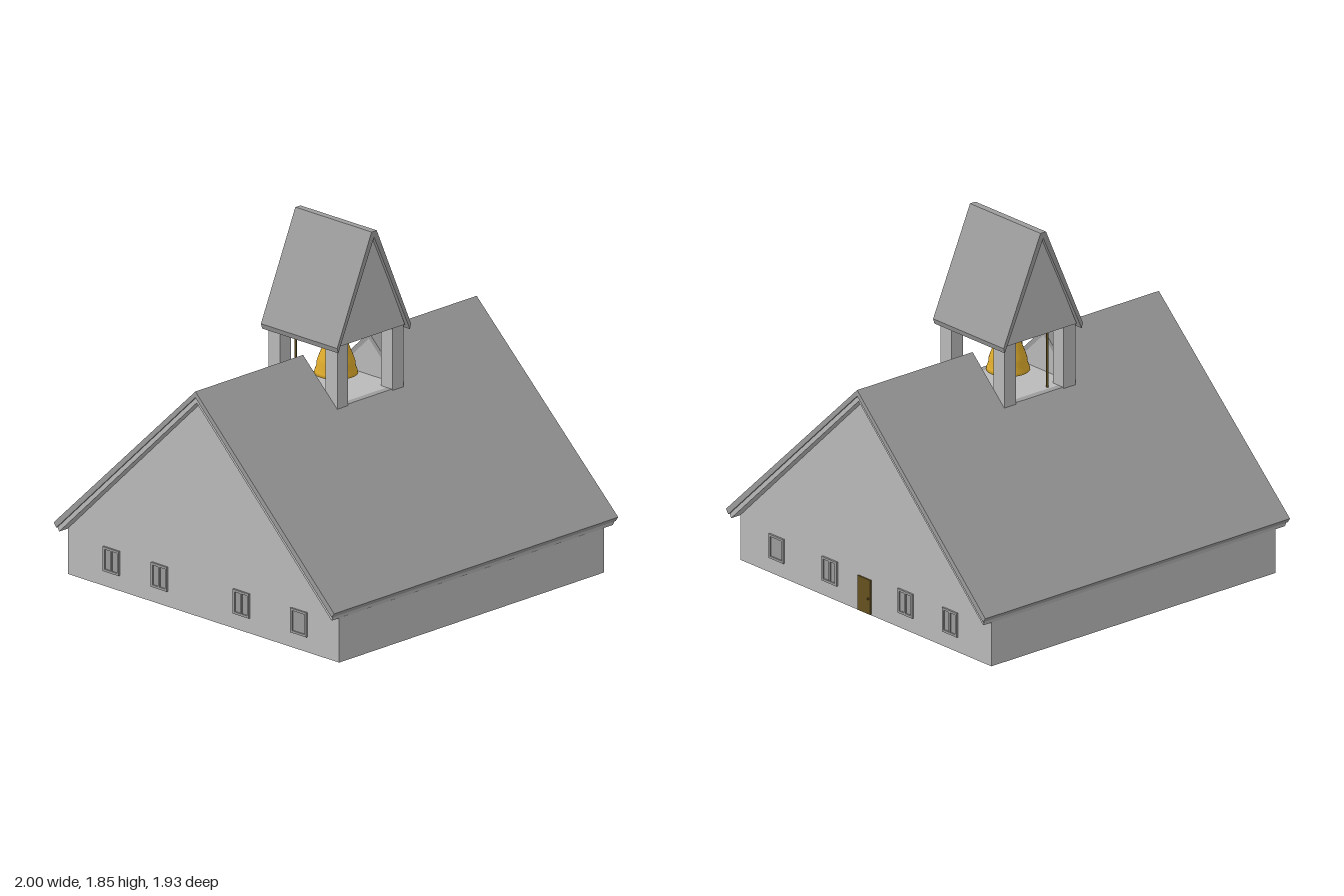
import * as THREE from 'three';

const material = (name, color) => {
  const m = new THREE.MeshStandardMaterial({ color });
  m.name = name;
  return m;
};

export function createModel() {
  const wall = material('wallGrey', 0xbababa);
  const slate = material('roofGrey', 0x9c9c9c);
  const wood = material('darkWood', 0x66521f);
  const gold = material('bellGold', 0xdcaa2c);
  const model = new THREE.Group();

  const add = (name, geometry, mat, parent = model) => {
    const mesh = new THREE.Mesh(geometry, mat);
    mesh.name = name;
    parent.add(mesh);
    return mesh;
  };
  const box = (name, mat, x0, x1, y0, y1, z0, z1, parent) => {
    const g = new THREE.BoxGeometry(x1 - x0, y1 - y0, z1 - z0);
    g.translate((x0 + x1) / 2, (y0 + y1) / 2, (z0 + z1) / 2);
    return add(name, g, mat, parent);
  };
  const extrude = (points, depth) => new THREE.ExtrudeGeometry(
    new THREE.Shape(points.map(([u, v]) => new THREE.Vector2(u, v))),
    { depth, bevelEnabled: false });
  // Extrudes a [z, y] profile from x0 to x1
  const alongX = (points, x0, x1) =>
    extrude(points.map(([z, y]) => [-z, y]), x1 - x0).rotateY(Math.PI / 2).translate(x0, 0, 0);
  const mirrored = (points) => [...points, ...points.map(([u, v]) => [-u, v]).reverse()];

  // House body: full gables at both ends, cut flat under the belfry
  const notch = 0.232, floor = 0.98;
  const gable = [[-0.935, 0], [0.935, 0], [0.935, 0.25], [0, 1.15], [-0.935, 0.25]];
  const flat = mirrored([[0.935, 0], [0.935, 0.25], [0.177, floor]]);
  add('leftBody', alongX(gable, notch, 0.932), wall);
  add('rightBody', alongX(gable, -0.932, -notch), wall);
  add('middleBody', alongX(flat, -notch, notch), wall);

  // Main roof: a slate layer over a paler underlayer, both open at the belfry
  const layer = (name, mat, top, eave, bottom, eaveLow, end) => {
    const chevron = [[-eave[0], eave[1]], [0, top], eave, eaveLow, [0, bottom], [-eaveLow[0], eaveLow[1]]];
    const zAt = (apex, e) => e[0] * (apex - floor) / (apex - e[1]);
    const slope = [eave, [zAt(top, eave), floor], [zAt(bottom, eaveLow), floor], eaveLow];
    const pieces = [
      alongX(chevron, notch, end),
      alongX(chevron, -end, -notch),
      alongX(slope, -notch, notch),
      alongX(slope.map(([z, y]) => [-z, y]), -notch, notch),
    ];
    for (const g of pieces) {
      // Ends flare slightly toward the eaves
      const p = g.attributes.position;
      for (let i = 0; i < p.count; i++) {
        if (Math.abs(p.getX(i)) > 0.5) p.setX(i, p.getX(i) * (1 + 0.011 * (1.2 - p.getY(i))));
      }
      add(name, g, mat);
    }
  };
  layer('roof', slate, 1.2, [0.967, 0.28], 1.168, [0.95, 0.256], 0.99);
  layer('roofUnderlayer', wall, 1.168, [0.95, 0.256], 1.138, [0.94, 0.235], 0.98);

  // Belfry posts
  const belfry = new THREE.Group();
  belfry.name = 'belfry';
  model.add(belfry);
  for (const sx of [-1, 1]) for (const sz of [-1, 1]) {
    const post = box('belfryPost', wall, -0.038, 0.038, 0.965, 1.31, -0.04, 0.04, belfry);
    post.position.set(sx * 0.195, 0, sz * 0.197);
  }
  // Belfry gable block and steep roof
  add('belfryGable', extrude([[-0.235, 1.302], [0.235, 1.302], [0, 1.835]], 0.49)
    .translate(0, 0, -0.245), wall, belfry);
  add('belfryRoof', extrude([[-0.26, 1.305], [-0.018, 1.853], [0.018, 1.853], [0.26, 1.305],
    [0.252, 1.278], [0, 1.822], [-0.252, 1.278]].reverse(), 0.526).translate(0, 0, -0.263), slate, belfry);

  // Bell, hanger and pull rope
  const bellMat = gold;
  bellMat.side = THREE.DoubleSide;
  const bellProfile = [[0, 1.235], [0.042, 1.235], [0.054, 1.222], [0.072, 1.175], [0.088, 1.135],
    [0.096, 1.11], [0.097, 1.09], [0.106, 1.065], [0.11, 1.05], [0.098, 1.05], [0.086, 1.09],
    [0.045, 1.21], [0, 1.215]].map(([r, y]) => new THREE.Vector2(r, y)).reverse();
  add('bell', new THREE.LatheGeometry(bellProfile, 32), bellMat, belfry);
  const rod = (name, x, z, y0, y1) => add(name,
    new THREE.CylinderGeometry(0.006, 0.006, y1 - y0, 8).translate(x, (y0 + y1) / 2, z), wood, belfry);
  rod('bellHanger', 0, 0, 1.23, 1.31);
  rod('bellRope', -0.1, -0.18, 0.97, 1.31);

  // Windows on both gable ends; the +z ones have no mullion
  const addWindow = (side, z) => {
    const w = new THREE.Group();
    w.name = 'window';
    box('windowPane', slate, -0.002, 0.003, 0.08, 0.208, -0.055, 0.055, w);
    for (const s of [-1, 1]) {
      box('windowJamb', slate, 0, 0.01, 0.08, 0.208, s * 0.049 - 0.006, s * 0.049 + 0.006, w);
      box('windowRail', slate, 0, 0.01, 0.144 + s * 0.058 - 0.006, 0.144 + s * 0.058 + 0.006, -0.055, 0.055, w);
    }
    if (z < 0.5) box('windowMullion', slate, 0, 0.009, 0.08, 0.208, -0.006, 0.006, w);
    w.position.set(side * 0.932, 0, z);
    if (side < 0) w.rotation.y = Math.PI;
    model.add(w);
  };
  for (const side of [-1, 1]) for (const z of [0.662, 0.265, -0.3, -0.632]) addWindow(side, z);

  // Door with knob
  box('door', wood, 0.93, 0.94, 0.004, 0.187, -0.04, 0.056);
  add('doorKnob', new THREE.SphereGeometry(0.006, 10, 8).translate(0.945, 0.088, -0.029), wood);

  return model;
}
